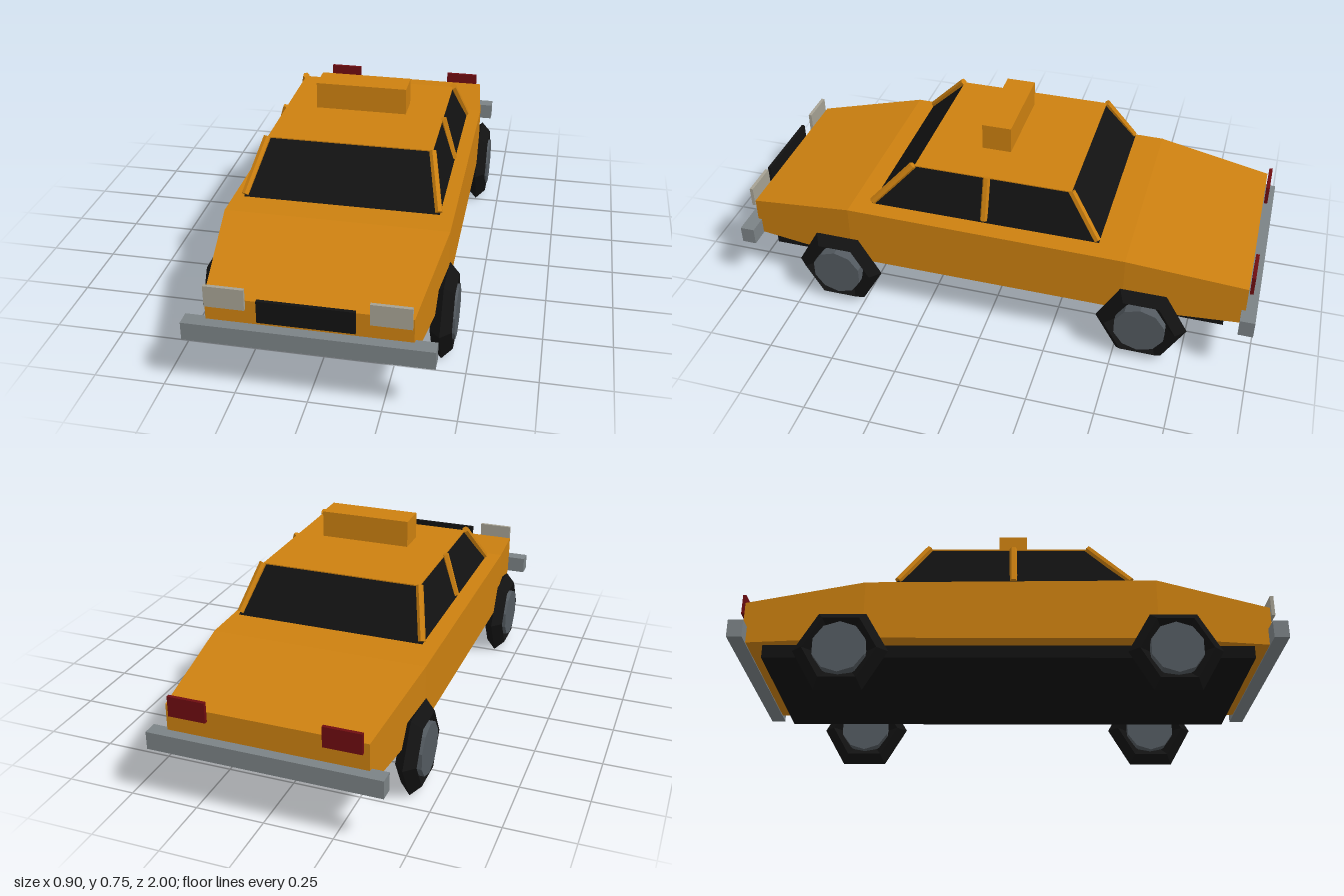
import * as THREE from 'three';

const mat = (name, color) => {
  const m = new THREE.MeshStandardMaterial({ color });
  m.name = name;
  m.flatShading = true;
  return m;
};

// Closed hull through four-cornered sections, ordered from front to back
function loft(sections) {
  const pos = [];
  const tri = (...pts) => pts.forEach((p) => pos.push(...p));
  for (let s = 0; s < sections.length - 1; s++) {
    const a = sections[s], b = sections[s + 1];
    for (let i = 0; i < 4; i++) {
      const j = (i + 1) % 4;
      tri(a[i], b[i], a[j], a[j], b[i], b[j]);
    }
  }
  const f = sections[0], r = sections[sections.length - 1];
  tri(f[0], f[1], f[2], f[0], f[2], f[3]);
  tri(r[0], r[2], r[1], r[0], r[3], r[2]);
  const g = new THREE.BufferGeometry();
  g.setAttribute('position', new THREE.Float32BufferAttribute(pos, 3));
  g.computeVertexNormals();
  return g;
}

// Section corners: bottom pair then top pair
const section = (wBot, yBot, zBot, wTop, yTop, zTop) => [
  [-wBot, yBot, zBot], [wBot, yBot, zBot], [wTop, yTop, zTop], [-wTop, yTop, zTop],
];

export function createModel() {
  const group = new THREE.Group();
  group.name = 'taxi';
  const paint = mat('orange paint', 0xcc8010);
  const black = mat('black', 0x121212);
  const steel = mat('bumper grey', 0x7b8285);
  const hubGrey = mat('hub grey', 0x535a60);
  const lamp = mat('headlight', 0xa5a193);
  const red = mat('tail light red', 0x6e0c10);

  const add = (name, geo, material) => {
    const m = new THREE.Mesh(geo, material);
    m.name = name;
    group.add(m);
    return m;
  };
  // Box given by its minimum and maximum on each axis
  const box = (name, material, x0, x1, y0, y1, z0, z1) =>
    add(name, new THREE.BoxGeometry(x1 - x0, y1 - y0, z1 - z0), material)
      .position.set((x0 + x1) / 2, (y0 + y1) / 2, (z0 + z1) / 2);

  // Body with sloping, tapering bonnet and boot
  add('body', loft([
    [0.96, 0.348, 0.35], [0.54, 0.405, 0.433], [-0.52, 0.405, 0.423], [-0.96, 0.362, 0.36],
  ].map(([z, w, top]) => section(w, 0.2, z, w, top, z))), paint);
  box('chassis', black, -0.34, 0.34, 0.152, 0.2, -0.888, 0.892);

  // Cabin glass, roof and sign
  add('cabinGlass', loft([
    section(0.357, 0.449, 0.458, 0.302, 0.614, 0.298),
    section(0.357, 0.449, -0.414, 0.302, 0.614, -0.294),
  ]), black);
  box('roof', paint, -0.306, 0.306, 0.614, 0.618, -0.296, 0.298);
  box('roofSign', paint, -0.171, 0.171, 0.65, 0.75, -0.033, 0.076);

  // Roof pillars: bottom z and top z for each pair
  const up = new THREE.Vector3(0, 1, 0);
  const pillars = { frontPillar: [0.455, 0.303], middlePillar: [0.02, 0.02], rearPillar: [-0.407, -0.297] };
  for (const [name, [zBot, zTop]] of Object.entries(pillars)) {
    for (const side of [-1, 1]) {
      const a = new THREE.Vector3(side * 0.353, 0.457, zBot);
      const b = new THREE.Vector3(side * 0.306, 0.62, zTop);
      const p = add(name, new THREE.CylinderGeometry(0.014, 0.014, a.distanceTo(b), 6), paint);
      p.position.lerpVectors(a, b, 0.5);
      p.quaternion.setFromUnitVectors(up, b.sub(a).normalize());
    }
  }

  // Bumpers, grille and lights
  box('frontBumper', steel, -0.423, 0.423, 0.196, 0.262, 0.945, 1);
  box('rearBumper', steel, -0.423, 0.423, 0.196, 0.262, -1, -0.945);
  box('grille', black, -0.163, 0.163, 0.293, 0.375, 0.981, 0.994);
  for (const side of [-1, 1]) {
    const x0 = side > 0 ? 0.207 : -0.344, x1 = x0 + 0.137;
    box('headlight', lamp, x0, x1, 0.323, 0.401, 0.966, 0.979);
    box('tailLight', red, x0, x1, 0.326, 0.401, -0.977, -0.964);
  }

  // Six-sided tyres with a diamond cross-section, and hubs
  const tyre = new THREE.TorusGeometry(0.132, 0.038, 4, 6).rotateY(Math.PI / 2);
  const hub = new THREE.CylinderGeometry(0.097, 0.097, 0.088, 10)
    .rotateZ(Math.PI / 2).rotateX(Math.PI / 2);
  for (const side of [-1, 1]) {
    for (const z of [0.595, -0.595]) {
      add('tyre', tyre, black).position.set(side * 0.405, 0.147, z);
      add('hub', hub, hubGrey).position.set(side * 0.405, 0.147, z);
    }
  }
  return group;
}
